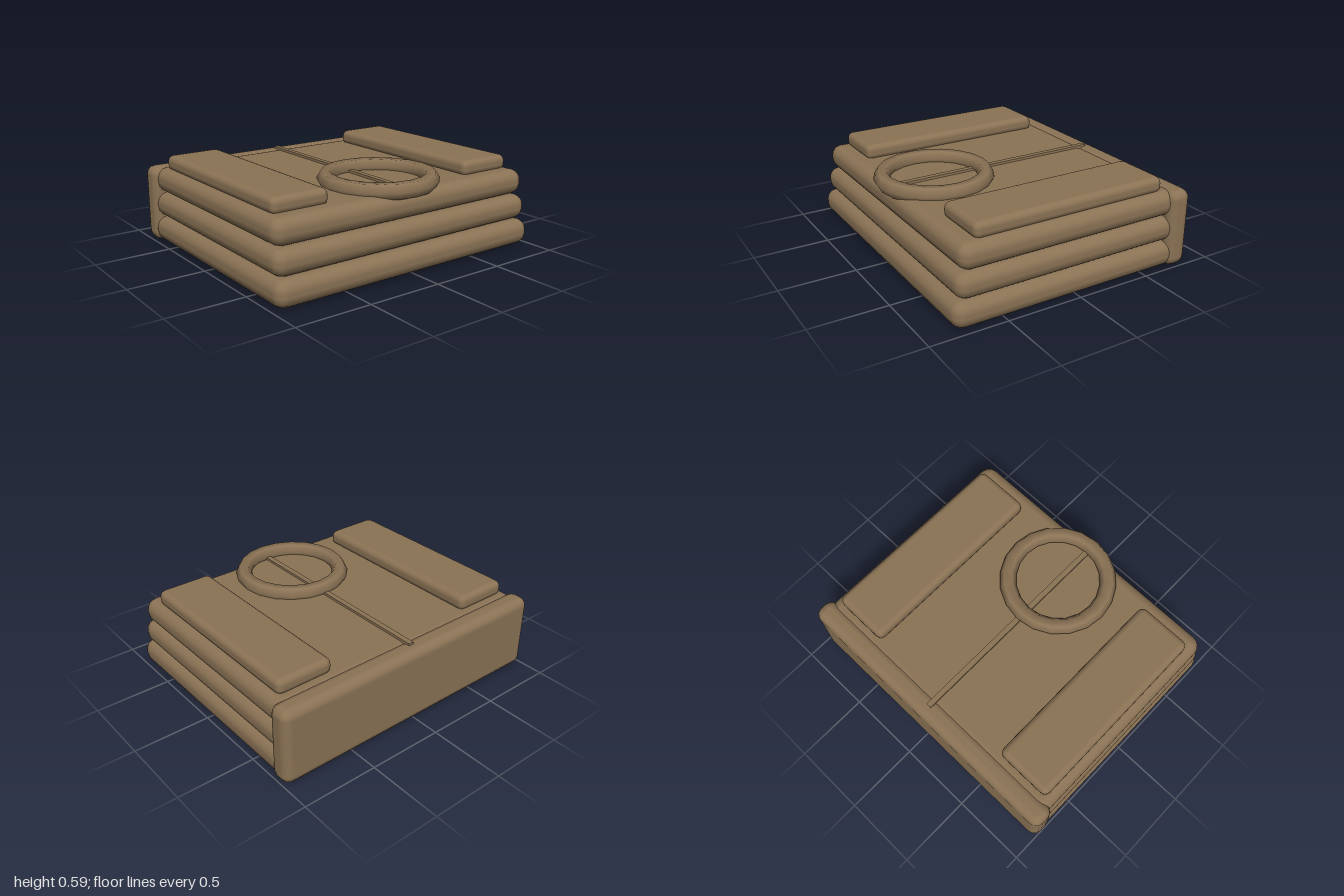
import * as THREE from 'three';
import { RoundedBoxGeometry } from 'three/addons/geometries/RoundedBoxGeometry.js';

export function createModel() {
  const model = new THREE.Group();
  model.name = 'packedBundle';

  const brown = new THREE.MeshStandardMaterial({ color: 0x8b7355 });
  brown.name = 'brown';

  function add(name, geometry, x, y, z) {
    const mesh = new THREE.Mesh(geometry, brown);
    mesh.name = name;
    mesh.position.set(x, y, z);
    model.add(mesh);
    return mesh;
  }

  // Rounded block given by its half width, bottom, top, back and front
  function block(name, x, halfW, y0, y1, z0, z1, radius) {
    const geometry = new RoundedBoxGeometry(halfW * 2, y1 - y0, z1 - z0, 2, radius);
    return add(name, geometry, x, (y0 + y1) / 2, (z0 + z1) / 2);
  }

  // Three stacked layers, each a little smaller than the one below
  const layers = [
    [0.99, 0.005, 0.175, 0.83],
    [0.98, 0.175, 0.34, 0.802],
    [0.97, 0.34, 0.507, 0.775],
  ];
  layers.forEach(([halfW, y0, y1, front], i) =>
    block(`layer${i + 1}`, 0, halfW, y0, y1, -0.75, front, 0.075));

  // Upright roll across the back
  block('backPanel', 0, 1, 0, 0.51, -0.83, -0.675, 0.06);

  // Long pads on both sides of the top
  for (const side of [1, -1]) {
    block(side > 0 ? 'leftPad' : 'rightPad', side * 0.72, 0.192, 0.49, 0.595, -0.662, 0.66, 0.042);
  }

  // Thin seam along the middle
  add('centreSeam', new THREE.BoxGeometry(0.036, 0.035, 1.5), 0, 0.506, 0);

  // Six-sided ring lying flat near the front
  const ring = new THREE.TorusGeometry(0.33, 0.055, 6, 20);
  ring.rotateX(-Math.PI / 2);
  add('topRing', ring, 0, 0.528, 0.435);

  return model;
}
